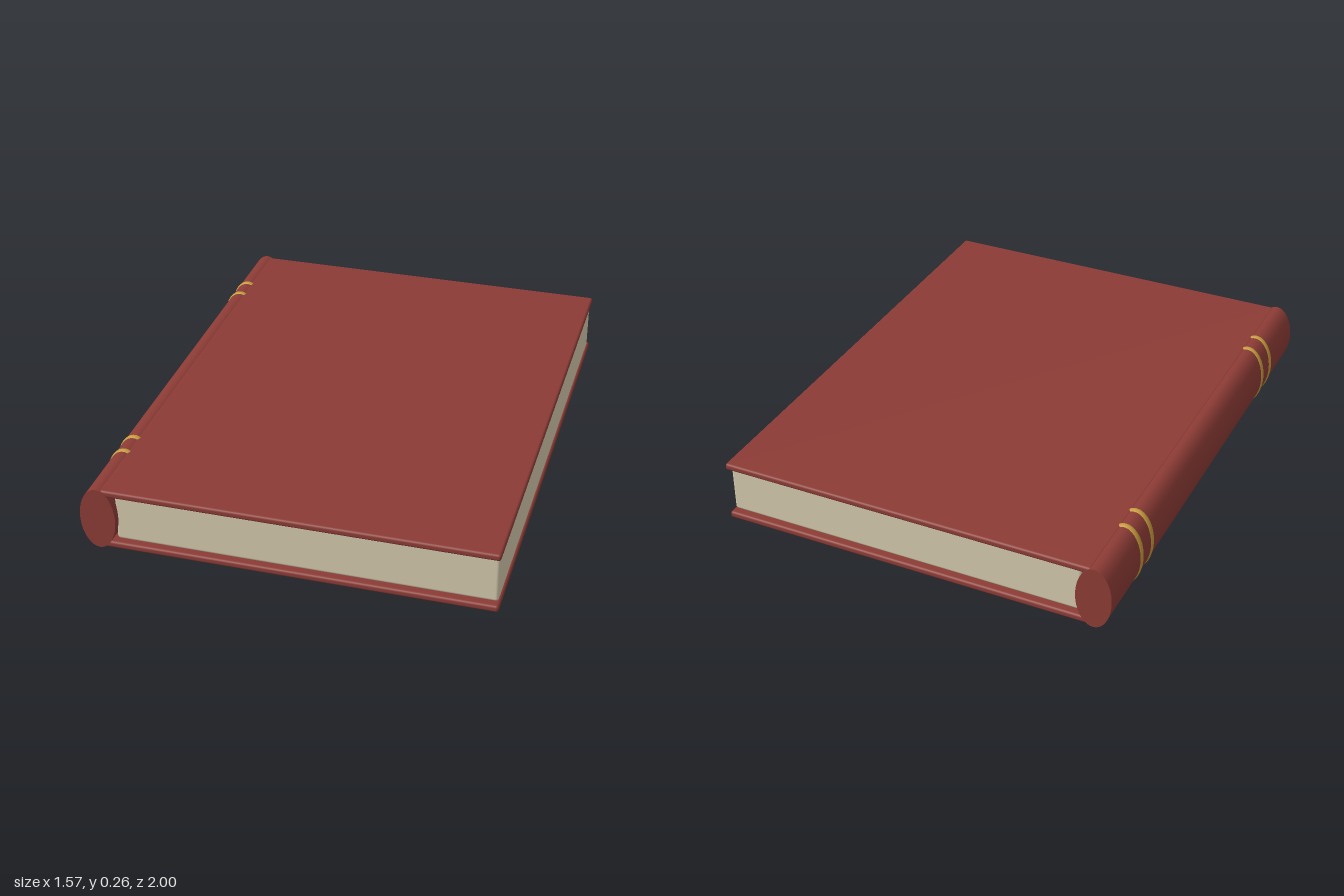
import * as THREE from 'three';
import { RoundedBoxGeometry } from 'three/addons/geometries/RoundedBoxGeometry.js';

const MID = 0.131; // height of the book's middle plane
const SPINE_X = -0.716;

function material(name, color) {
  const m = new THREE.MeshStandardMaterial({ color });
  m.name = name;
  return m;
}

export function createModel() {
  const book = new THREE.Group();
  book.name = 'book';
  const leather = material('red leather', 0x8c3b35);
  const paper = material('cream paper', 0xd3c8ac);
  const gold = material('gold', 0xc49a3c);

  const add = (name, geometry, mat, x, y, z) => {
    const mesh = new THREE.Mesh(geometry, mat);
    mesh.name = name;
    mesh.position.set(x, y, z);
    book.add(mesh);
  };

  // Cover boards
  for (const [name, side] of [['frontCover', 1], ['backCover', -1]]) {
    add(name, new RoundedBoxGeometry(1.488, 0.027, 1.995, 3, 0.01), leather, 0.04, MID + side * 0.11, 0);
  }

  // Page block
  add('pages', new RoundedBoxGeometry(1.435, 0.194, 1.94, 3, 0.012), paper, 0.06, MID, 0);

  // Oval spine running along z
  const spine = new THREE.CylinderGeometry(1, 1, 2, 64);
  spine.rotateX(Math.PI / 2);
  spine.scale(0.069, 0.126, 1);
  add('spine', spine, leather, SPINE_X, MID, 0);

  // Pairs of raised bands around the spine
  for (const z of [-0.72, -0.62, 0.62, 0.72]) {
    const band = new THREE.TorusGeometry(1, 0.1, 12, 64);
    band.scale(0.0665, 0.119, 0.15);
    add('spineBand', band, gold, SPINE_X, MID, z);
  }

  return book;
}
